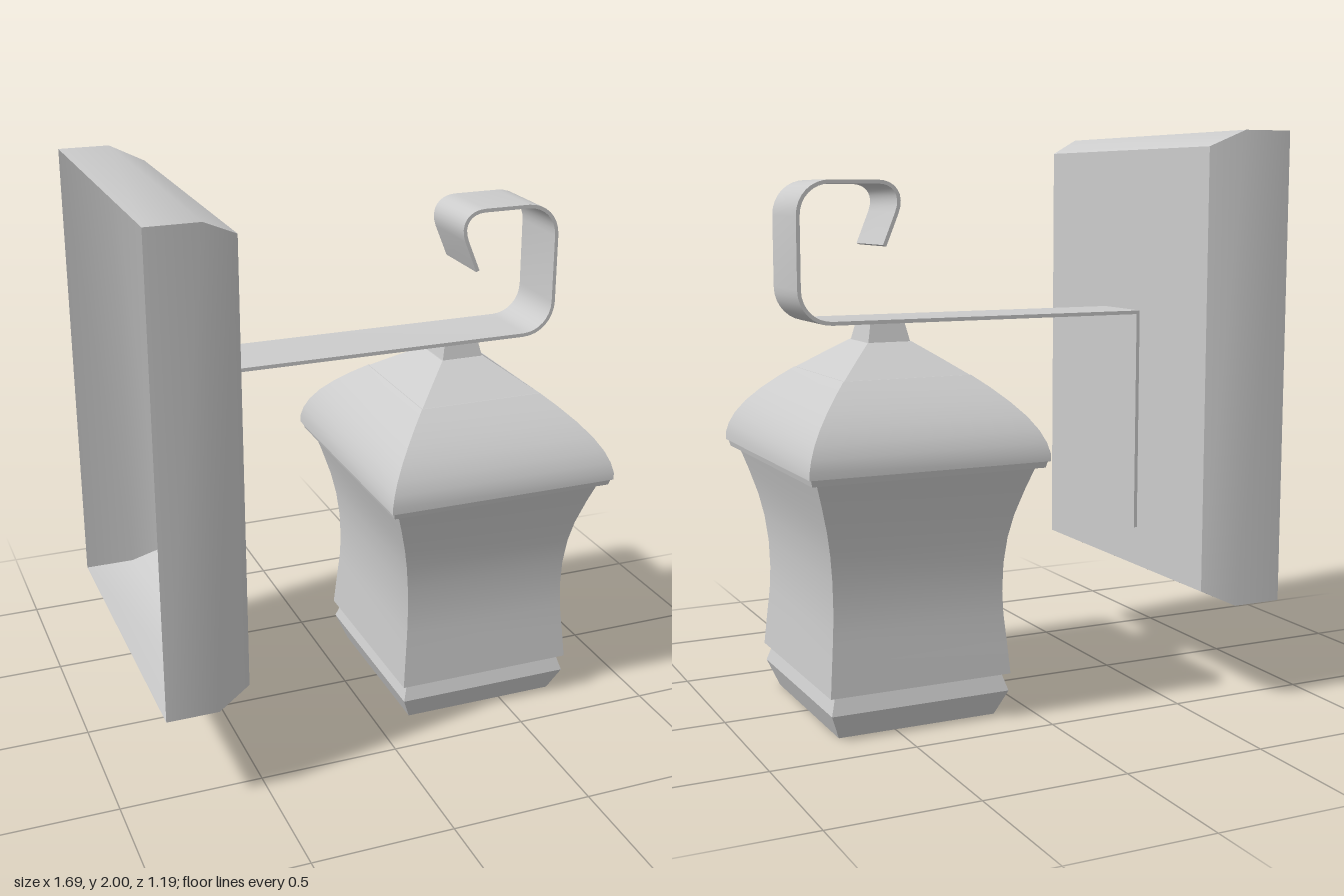
import * as THREE from 'three';
import { toCreasedNormals } from 'three/addons/utils/BufferGeometryUtils.js';

const material = new THREE.MeshStandardMaterial({ color: 0xcccccc });
const openMaterial = new THREE.MeshStandardMaterial({ color: 0xcccccc, side: THREE.DoubleSide });
const LAMP_X = 0.417;
const LAMP_DEPTH = 1.1; // the lamp is slightly deeper than wide

// Four-sided stack of rectangles; profile lists [half width, height] upwards
function squareLoft(profile) {
  const points = profile.map(([half, y]) => new THREE.Vector2(half * Math.SQRT2, y));
  return new THREE.LatheGeometry(points, 4, Math.PI / 4);
}

function addMesh(group, name, geometry, mat = material) {
  const mesh = new THREE.Mesh(toCreasedNormals(geometry, Math.PI / 7), mat);
  mesh.name = name;
  group.add(mesh);
  return mesh;
}

// Flat strip following a line in the xy plane
function strip(points, thickness, width) {
  const sides = [[], []];
  points.forEach((p, i) => {
    const a = points[Math.max(i - 1, 0)];
    const b = points[Math.min(i + 1, points.length - 1)];
    const before = p.clone().sub(a).normalize();
    const after = b.clone().sub(p).normalize();
    const dir = before.clone().add(after).normalize();
    const seg = i === 0 ? after : before;
    const offset = thickness / 2 / Math.max(dir.dot(seg), 0.5); // mitred corner
    const n = new THREE.Vector2(-dir.y, dir.x).multiplyScalar(offset);
    sides[0].push(p.clone().add(n));
    sides[1].push(p.clone().sub(n));
  });
  const shape = new THREE.Shape([...sides[0], ...sides[1].reverse()]);
  return new THREE.ExtrudeGeometry(shape, { depth: width, bevelEnabled: false })
    .translate(0, 0, -width / 2);
}

export function createModel() {
  const model = new THREE.Group();
  model.name = 'wallLantern';

  // Wall plate: hollow box, open at the back, with a bevelled front
  const plate = squareLoft([[1, -0.85], [1, -0.67], [0.933, -0.553], [0, -0.553]]);
  plate.rotateZ(-Math.PI / 2).scale(1, 0.82, 0.596).translate(0, 1.18, 0);
  addMesh(model, 'wallPlate', plate, openMaterial);

  // Bracket: strip up the plate, out along the arm and round into a scroll
  const path = new THREE.Path();
  path.moveTo(-0.543, 0.56);
  path.lineTo(-0.543, 1.36);
  path.lineTo(0.635, 1.36);
  path.bezierCurveTo(0.70, 1.36, 0.75, 1.41, 0.75, 1.475);
  path.lineTo(0.75, 1.715);
  path.bezierCurveTo(0.75, 1.78, 0.70, 1.828, 0.635, 1.828);
  path.lineTo(0.47, 1.828);
  path.bezierCurveTo(0.41, 1.828, 0.378, 1.785, 0.402, 1.725);
  path.lineTo(0.447, 1.615);
  addMesh(model, 'bracket', strip(path.getPoints(8), 0.013, 0.25));

  // Lantern
  const lantern = new THREE.Group();
  lantern.name = 'lantern';
  lantern.position.x = LAMP_X;
  lantern.scale.z = LAMP_DEPTH;
  model.add(lantern);

  const parts = {
    base: [[0, 0], [0.285, 0], [0.322, 0.09], [0.303, 0.152], [0, 0.152]],
    shade: [[0, 0.152], [0.327, 0.152], [0.318, 0.26], [0.309, 0.36], [0.306, 0.44],
      [0.309, 0.54], [0.319, 0.63], [0.335, 0.71], [0.361, 0.80], [0.387, 0.88], [0, 0.88]],
    lip: [[0, 0.88], [0.411, 0.88], [0.417, 0.905], [0, 0.905]],
    roof: [[0, 0.903], [0.424, 0.903], [0.423, 0.93], [0.414, 0.965], [0.396, 1.005],
      [0.366, 1.05], [0.324, 1.097], [0.276, 1.142], [0.229, 1.181], [0, 1.181]],
    roofCap: [[0, 1.18], [0.227, 1.18], [0.15, 1.237], [0.08, 1.287], [0, 1.287]],
    neck: [[0, 1.285], [0.077, 1.285], [0.062, 1.354], [0, 1.354]],
  };
  for (const [name, profile] of Object.entries(parts)) {
    addMesh(lantern, name, squareLoft(profile));
  }
  return model;
}
